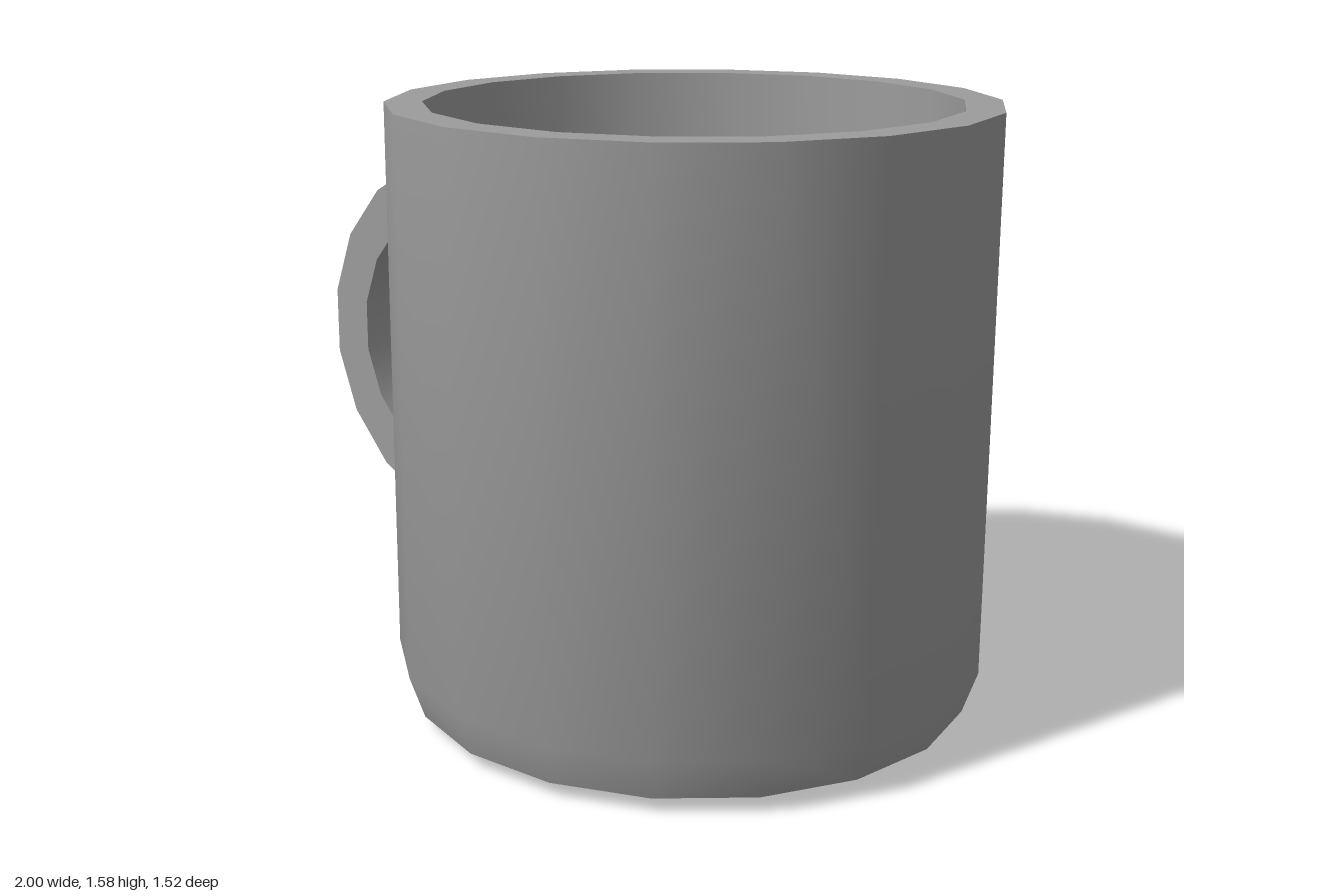
import * as THREE from 'three';
import { toCreasedNormals } from 'three/addons/utils/BufferGeometryUtils.js';

const CREASE = Math.PI / 5;
const material = new THREE.MeshStandardMaterial({ color: 0x9c9c9c });

function addMesh(group, name, geometry) {
  const mesh = new THREE.Mesh(toCreasedNormals(geometry, CREASE), material);
  mesh.name = name;
  group.add(mesh);
  return mesh;
}

export function createModel() {
  const group = new THREE.Group();
  group.name = 'mug';

  // Cup: base, two bevels, outer wall, flat rim, inner wall and floor
  const profile = [
    [0, 0], [0.625, 0], [0.732, 0.04], [0.77, 0.15], [0.77, 1.577],
    [0.675, 1.577], [0.675, 0.1], [0, 0.1],
  ].map(([r, y]) => new THREE.Vector2(r, y));
  const cup = addMesh(group, 'cup', new THREE.LatheGeometry(profile, 18, Math.PI / 2));
  cup.position.x = 0.23;

  // Handle: half of an 18-sided ring, its ends sunk into the cup wall
  const arc = (radius) => Array.from({ length: 10 }, (_, i) => {
    const a = Math.PI / 2 + (i * Math.PI) / 9;
    return new THREE.Vector2(radius * Math.cos(a), radius * Math.sin(a));
  });
  const outline = new THREE.Shape([...arc(0.522), ...arc(0.4).reverse()]);
  const handle = addMesh(group, 'handle',
    new THREE.ExtrudeGeometry(outline, { depth: 0.16, bevelEnabled: false }));
  handle.position.set(-0.486, 0.856, -0.083);

  return group;
}
